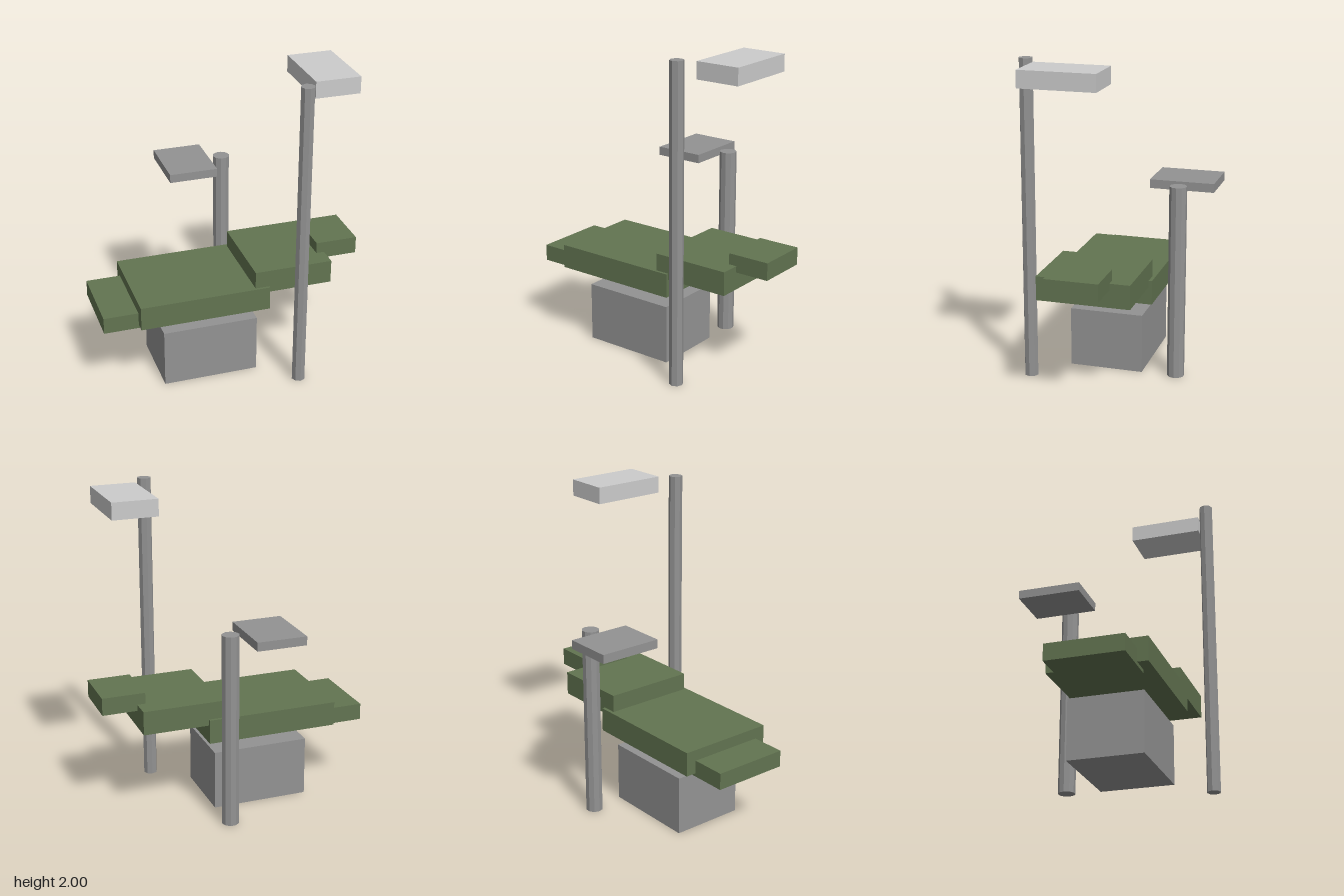
import * as THREE from 'three';

const TURN = -0.559; // the whole set is turned about y

const light = new THREE.MeshStandardMaterial({ color: 0xcccccc });
const steel = new THREE.MeshStandardMaterial({ color: 0x939393, flatShading: true });
const green = new THREE.MeshStandardMaterial({ color: 0x627451 });

export function createModel() {
  const group = new THREE.Group();
  group.name = 'treatmentChair';

  function add(name, geometry, material, x, y, z) {
    const mesh = new THREE.Mesh(geometry, material);
    mesh.name = name;
    mesh.position.set(x, y, z);
    mesh.rotation.y = TURN;
    group.add(mesh);
  }

  // Block given by centre, width, length and bottom/top heights
  const block = (name, material, x, z, width, length, bottom, top) =>
    add(name, new THREE.BoxGeometry(width, top - bottom, length), material, x, (bottom + top) / 2, z);

  // Upright pole standing on the floor
  const pole = (name, x, z, radius, height, sides) =>
    add(name, new THREE.CylinderGeometry(radius, radius, height, sides), steel, x, height / 2, z);

  // Pedestal
  block('base', steel, -0.08, 0.11, 0.466, 0.613, 0, 0.378);

  // Stepped cushions from feet to head
  block('legRest', green, -0.355, 0.55, 0.483, 0.338, 0.46, 0.565);
  block('seat', green, -0.108, 0.153, 0.618, 0.834, 0.482, 0.635);
  block('backRest', green, 0.2, -0.336, 0.58, 0.504, 0.595, 0.745);
  block('headRest', green, 0.378, -0.62, 0.33, 0.27, 0.705, 0.815);

  // Instrument tray and its stand
  pole('trayPole', -0.308, -0.368, 0.054, 1.225, 10);
  block('tray', steel, -0.437, -0.16, 0.4, 0.311, 1.175, 1.23);

  // Overhead lamp and its stand
  pole('lampPole', 0.557, -0.113, 0.0435, 2, 8);
  block('lampHead', light, 0.411, -0.465, 0.47, 0.283, 1.885, 1.99);

  return group;
}
